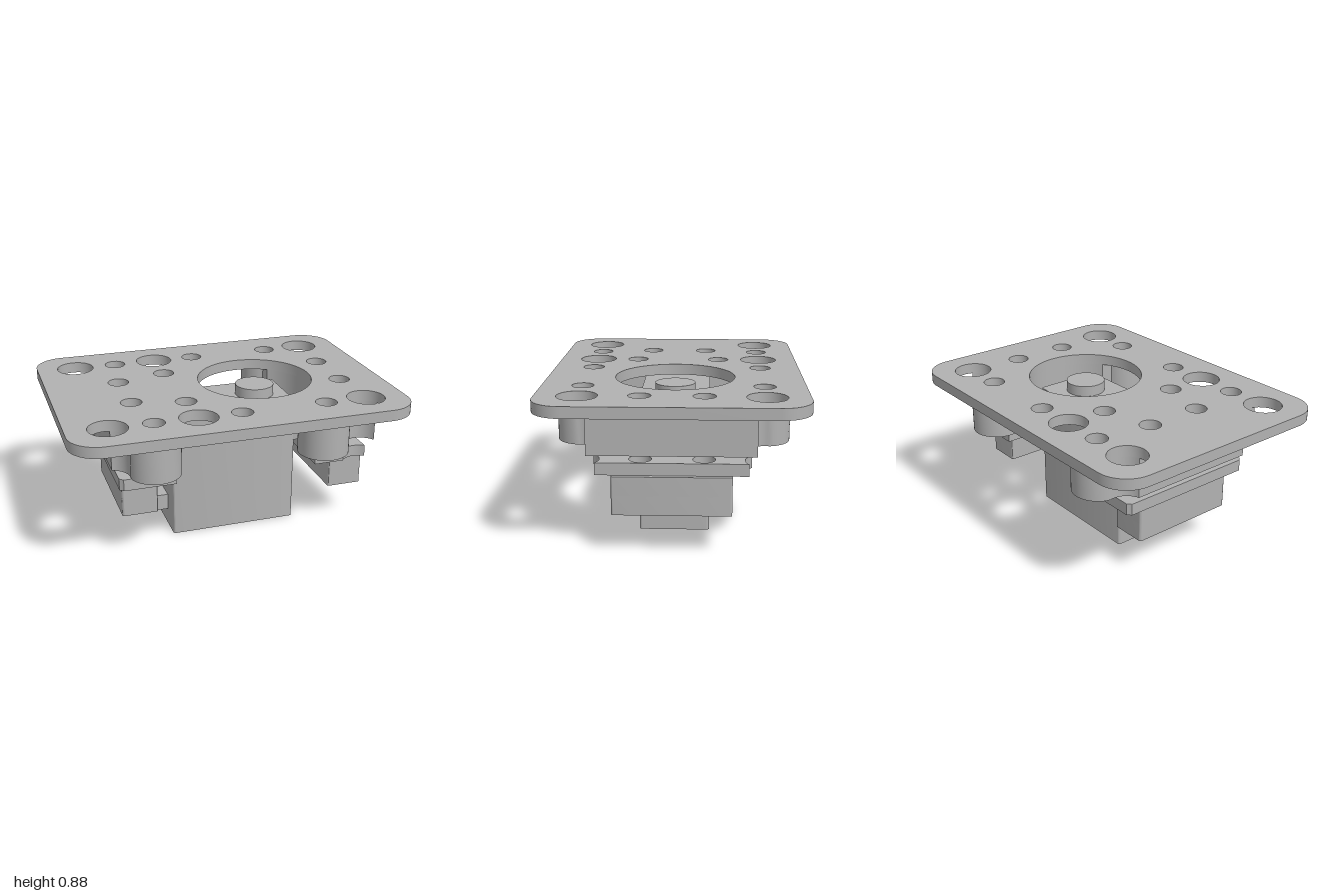
import * as THREE from 'three';
import { toCreasedNormals } from 'three/addons/utils/BufferGeometryUtils.js';

export function createModel() {
  const model = new THREE.Group();
  const grey = new THREE.MeshStandardMaterial({ color: 0xb2b2b2 });
  grey.name = 'grey';

  // Solid of a plan outline (x, z) between two heights, with holes [x, z, radius, sides]
  function slab(name, shape, y0, y1, holes = []) {
    for (const [x, z, r, sides = 32] of holes) {
      const pts = [];
      for (let i = 0; i < sides; i++) {
        const a = (i / sides) * Math.PI * 2 + Math.PI / 2;
        pts.push(new THREE.Vector2(x + r * Math.cos(a), z + r * Math.sin(a)));
      }
      shape.holes.push(new THREE.Path(pts));
    }
    let geo = new THREE.ExtrudeGeometry(shape, { depth: y1 - y0, bevelEnabled: false, curveSegments: 12 });
    geo.rotateX(Math.PI / 2);
    geo.translate(0, y1, 0);
    geo = toCreasedNormals(geo, 0.6);
    const mesh = new THREE.Mesh(geo, grey);
    mesh.name = name;
    model.add(mesh);
    return mesh;
  }

  function roundedRect(x0, x1, hz, r) {
    const s = new THREE.Shape();
    s.absarc(x1 - r, hz - r, r, 0, Math.PI / 2);
    s.absarc(x0 + r, hz - r, r, Math.PI / 2, Math.PI);
    s.absarc(x0 + r, -hz + r, r, Math.PI, Math.PI * 1.5);
    s.absarc(x1 - r, -hz + r, r, Math.PI * 1.5, Math.PI * 2);
    s.closePath();
    return s;
  }

  function arc(cx, cz, r, a0, a1, n) {
    return Array.from({ length: n + 1 }, (_, i) => {
      const a = a0 + ((a1 - a0) * i) / n;
      return [cx + r * Math.cos(a), cz + r * Math.sin(a)];
    });
  }

  // Closes a half outline by mirroring it across z = 0; side flips it to left or right
  function mirrored(half, side) {
    const all = [...half, ...half.slice().reverse().map(([u, z]) => [u, -z])];
    return new THREE.Shape(all.map(([u, z]) => new THREE.Vector2(u * side, z)));
  }

  const both = (x, z, r, sides) => [[x, z, r, sides], [x, -z, r, sides]];
  const BIG = 0.112, SMALL = 0.063;

  // Top plate with all its holes
  slab('topPlate', roundedRect(-1, 1, 0.745, 0.18), 0.82, 0.885, [
    ...[-0.765, -0.255, 0.76].flatMap(x => both(x, 0.51, BIG, 40)),
    ...[-0.51, 0, 0.51].flatMap(x => both(x, 0.51, SMALL)),
    ...[-0.56, 0.745].flatMap(x => both(x, 0.175, SMALL)),
    ...both(-0.255, 0.255, SMALL),
    [0.255, 0, 0.35, 64],
  ]);

  // Upper mounts with round posts, scooped around the large plate holes
  const leftMount = [
    [0.86, 0.01],
    ...arc(0.76, 0.51, BIG, -0.464, -3.37, 20),
    ...arc(0.505, 0.505, 0.15, 0.2, 4.335, 28).slice(1),
    ...arc(0.255, 0, 0.35, 0.979, 0.02, 14),
  ];
  const rightMount = [
    [0.735, 0.01],
    ...arc(0.765, 0.51, BIG, -1.84, -3.37, 12),
    ...arc(0.51, 0.505, 0.15, 0.2, Math.PI, 22).slice(1),
    [0.36, 0.01],
  ];
  slab('leftMount', mirrored(leftMount, 1), 0.58, 0.82,
    [...both(0.745, 0.175, SMALL), ...both(0.507, 0.508, SMALL)]);
  slab('rightMount', mirrored(rightMount, -1), 0.58, 0.82,
    [...both(-0.56, 0.175, SMALL), ...both(-0.51, 0.508, SMALL)]);

  // Clamp plates under the motor tabs
  const leftClamp = [[0.825, 0.01], ...arc(0.76, 0.51, BIG, -0.95, -2.464, 12), [0.49, 0.44], [0.49, 0.01]];
  const rightClamp = [[0.70, 0.01], ...arc(0.765, 0.51, BIG, -2.19, -2.464, 4), [0.37, 0.44], [0.37, 0.01]];
  slab('leftClamp', mirrored(leftClamp, 1), 0.46, 0.53, both(0.745, 0.175, SMALL));
  slab('rightClamp', mirrored(rightClamp, -1), 0.46, 0.53, both(-0.56, 0.175, SMALL));

  // Nut blocks: round bores above, hexagonal pockets below
  for (const [side, x] of [['left', 0.743], ['right', -0.5625]]) {
    const outline = () => roundedRect(x - 0.1075, x + 0.1075, 0.33, 0.012);
    slab(side + 'NutBlockTop', outline(), 0.35, 0.46, both(x, 0.175, SMALL));
    slab(side + 'NutBlockPockets', outline(), 0.24, 0.35, both(x, 0.175, 0.118, 6));
  }

  // Motor: body, mounting tabs, output boss and cable stub
  slab('motorBody', roundedRect(-0.33, 0.45, 0.205, 0.015), 0, 0.785);
  slab('leftMotorTab', roundedRect(0.44, 0.605, 0.205, 0.002), 0.53, 0.58, [[0.525, 0, 0.04]]);
  slab('rightMotorTab', roundedRect(-0.485, -0.32, 0.205, 0.002), 0.53, 0.58, [[-0.405, 0, 0.04]]);

  const boss = new THREE.Mesh(new THREE.CylinderGeometry(0.118, 0.118, 0.07, 40), grey);
  boss.name = 'outputBoss';
  boss.position.set(0.255, 0.815, 0);
  model.add(boss);

  const stub = new THREE.Mesh(new THREE.BoxGeometry(0.115, 0.1, 0.14), grey);
  stub.name = 'cableStub';
  stub.position.set(-0.3775, 0.155, 0);
  model.add(stub);

  return model;
}
